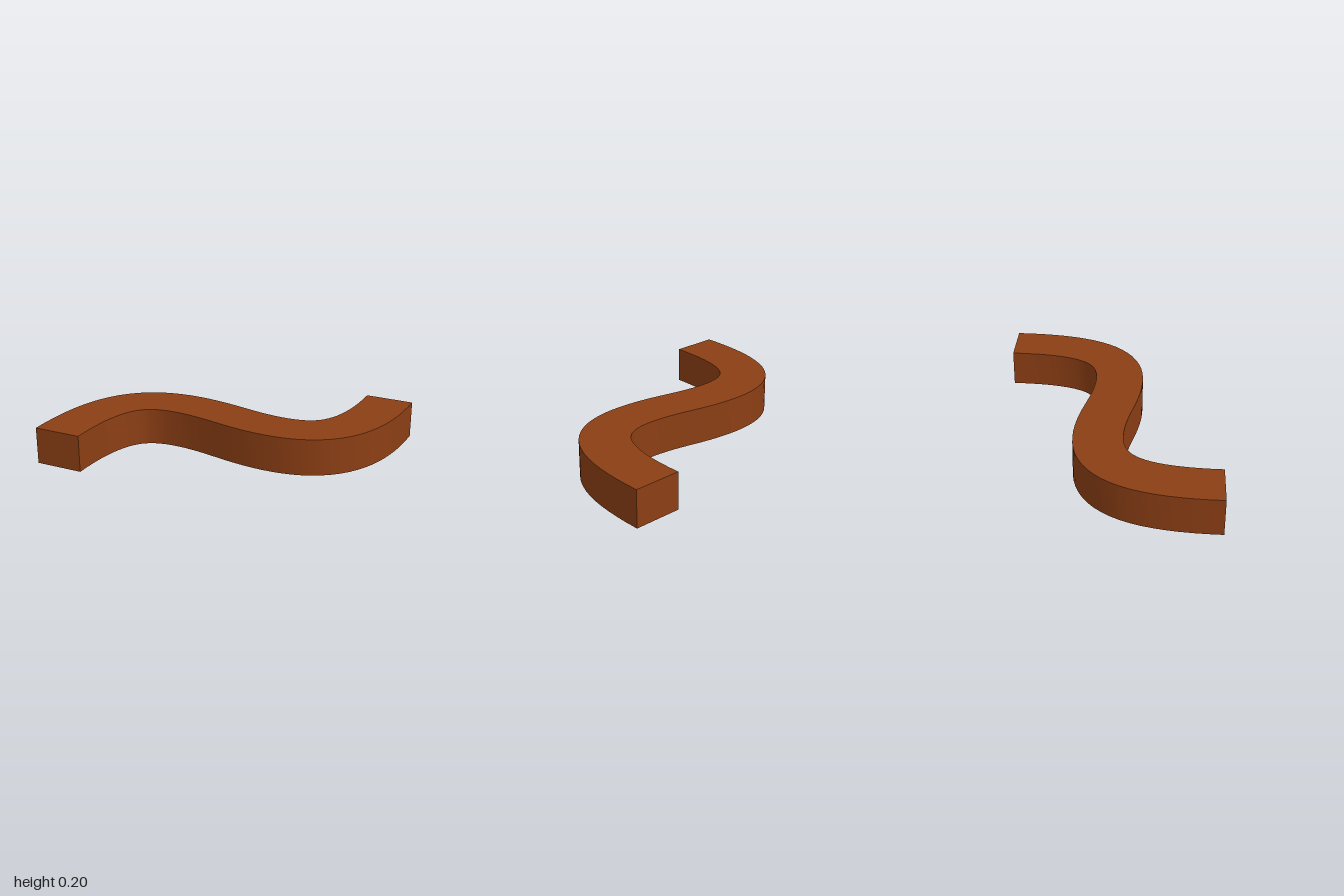
import * as THREE from 'three';
import { toCreasedNormals } from 'three/addons/utils/BufferGeometryUtils.js';

const HALF_WIDTH = 0.13;
const HEIGHT = 0.2;
const STEPS = 24;

export function createModel() {
  const group = new THREE.Group();
  group.name = 'sCurveBar';

  // Centreline of one bend in plan (shape y is -z); the other is its half-turn copy
  const v = (x, y) => new THREE.Vector2(x, y);
  const bend = new THREE.CubicBezierCurve(v(-0.88, -0.276), v(-0.646, 0.276), v(-0.4, 0.295), v(0, 0));

  // Offset the bend to both sides
  const upper = [], lower = [];
  for (let i = 0; i <= STEPS; i++) {
    const p = bend.getPoint(i / STEPS);
    const t = bend.getTangent(i / STEPS);
    const n = v(-t.y, t.x).multiplyScalar(HALF_WIDTH);
    upper.push(p.clone().add(n));
    lower.push(p.clone().sub(n));
  }
  const halfTurn = (points) => points.slice(0, -1).reverse().map((p) => p.clone().negate());
  const topEdge = [...upper, ...halfTurn(lower)];
  const bottomEdge = [...lower, ...halfTurn(upper)];

  // Closed outline raised to the bar height
  const outline = new THREE.Shape([...bottomEdge, ...topEdge.reverse()]);
  const solid = new THREE.ExtrudeGeometry(outline, { depth: HEIGHT, bevelEnabled: false });
  solid.rotateX(-Math.PI / 2);

  const bar = new THREE.Mesh(
    toCreasedNormals(solid, Math.PI / 6),
    new THREE.MeshStandardMaterial({ color: 0x8b3e14 })
  );
  bar.name = 'curvedBar';
  group.add(bar);
  return group;
}
